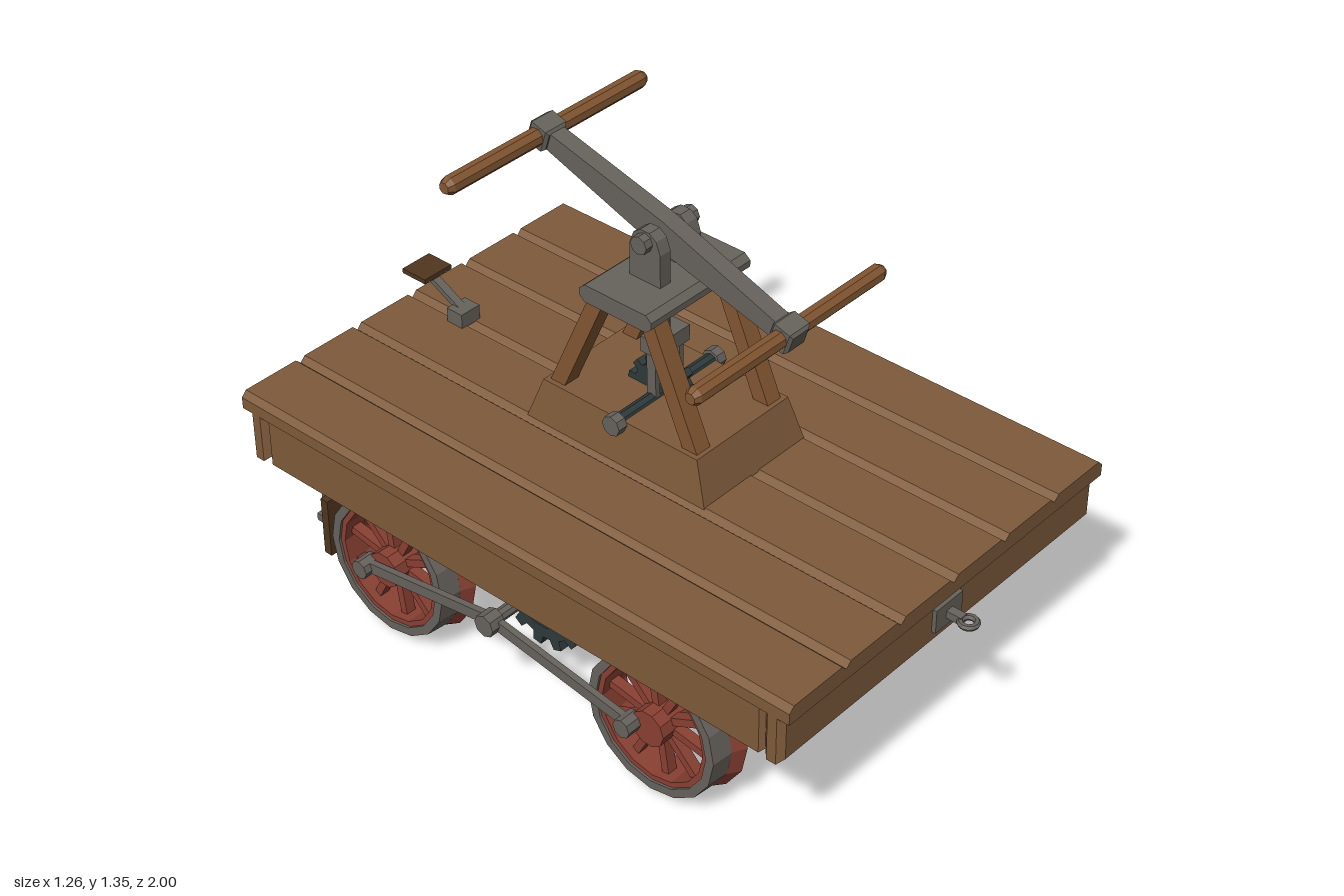
import * as THREE from 'three';

const mat = (name, color) => {
  const m = new THREE.MeshStandardMaterial({ color });
  m.name = name;
  return m;
};

export function createModel() {
  const wood = mat('deck wood', 0x7e5a3a);
  const handleWood = mat('handle wood', 0x825631);
  const darkWood = mat('dark wood', 0x50361f);
  const metal = mat('grey metal', 0x67625c);
  const iron = mat('dark iron', 0x2f3a3b);
  const red = mat('wheel red', 0x8a4033);
  const root = new THREE.Group();
  root.name = 'railHandcar';

  // Faceted mesh at a position
  function add(name, geo, material, pos = [0, 0, 0], parent = root) {
    const g = geo.index ? geo.toNonIndexed() : geo;
    g.computeVertexNormals();
    const mesh = new THREE.Mesh(g, material);
    mesh.name = name;
    mesh.position.set(...pos);
    parent.add(mesh);
    return mesh;
  }
  const box = (w, h, d) => new THREE.BoxGeometry(w, h, d);
  const rodX = (r, len, n = 8) => new THREE.CylinderGeometry(r, r, len, n).rotateZ(-Math.PI / 2);
  // Box with chamfered edges
  function bevelBox(w, h, d, b = 0.012) {
    const x = w / 2 - b, y = h / 2 - b;
    const s = new THREE.Shape([[-x, -y], [x, -y], [x, y], [-x, y]].map(p => new THREE.Vector2(...p)));
    return new THREE.ExtrudeGeometry(s, { depth: d - 2 * b, bevelSize: b, bevelThickness: b, bevelSegments: 1 })
      .translate(0, 0, -d / 2 + b);
  }
  // Plate outlined in [z, y], with its thickness along x
  function plate(points, width) {
    const s = new THREE.Shape(points.map(([z, y]) => new THREE.Vector2(-z, y)));
    return new THREE.ExtrudeGeometry(s, { depth: width, bevelEnabled: false })
      .translate(0, 0, -width / 2).rotateY(Math.PI / 2);
  }
  // Straight bar between two points
  function bar(name, a, b, w, d, material) {
    const A = new THREE.Vector3(...a), B = new THREE.Vector3(...b);
    const dir = B.clone().sub(A);
    const m = add(name, box(w, dir.length(), d), material, A.clone().add(B).multiplyScalar(0.5).toArray());
    m.quaternion.setFromUnitVectors(new THREE.Vector3(0, 1, 0), dir.normalize());
    return m;
  }
  function gear(r, width, teeth) {
    const pts = [];
    for (let i = 0; i < teeth; i++) {
      for (const [f, k] of [[0, 0.8], [0.42, 0.8], [0.52, 1], [0.9, 1]]) {
        const a = (i + f) / teeth * Math.PI * 2;
        pts.push([Math.cos(a) * r * k, Math.sin(a) * r * k]);
      }
    }
    return plate(pts, width);
  }

  // Deck planks with chamfered top edges
  const pw = 1.24 / 6;
  for (let i = 0; i < 6; i++) {
    const h = pw / 2, c = 0.016;
    const s = new THREE.Shape([[-h, 0], [h, 0], [h, 0.034], [h - c, 0.05], [c - h, 0.05], [-h, 0.034]]
      .map(p => new THREE.Vector2(...p)));
    const g = new THREE.ExtrudeGeometry(s, { depth: 1.84, bevelEnabled: false }).translate(0, 0, -0.92);
    add('deckPlank', g, wood, [-0.62 + pw * (i + 0.5), 0.542, 0]);
  }

  // Underframe: end beams, side rails, sills and cross beams
  for (const s of [-1, 1]) {
    add('endBeam', bevelBox(1.24, 0.143, 0.06, 0.016), wood, [0, 0.4715, s * 0.87]);
    add('sideRail', bevelBox(0.06, 0.143, 1.68), wood, [s * 0.585, 0.4715, 0]);
    add('sill', box(0.08, 0.13, 1.68), wood, [s * 0.4, 0.477, 0]);
    add('crossBeam', box(1.12, 0.1, 0.07), wood, [0, 0.492, s * 0.28]);
    // Coupler with a flat eye
    add('couplerPlate', box(0.105, 0.07, 0.014), metal, [0, 0.48, s * 0.905]);
    add('couplerShank', box(0.025, 0.022, 0.06), metal, [0, 0.48, s * 0.925]);
    add('couplerEye', new THREE.TorusGeometry(0.021, 0.009, 6, 12).rotateX(Math.PI / 2), metal, [0, 0.48, s * 0.97]);
  }

  // Wheel, with its outer side towards +x
  function wheel(side, z) {
    const g = new THREE.Group();
    g.name = 'wheel';
    const ring = pts => new THREE.LatheGeometry(pts.map(p => new THREE.Vector2(...p)), 16).rotateZ(-Math.PI / 2);
    add('tyre', ring([[0.178, 0.51], [0.208, 0.51], [0.203, 0.575], [0.178, 0.575], [0.178, 0.51]]), metal, [0, 0, 0], g);
    add('flange', ring([[0.165, 0.475], [0.226, 0.475], [0.208, 0.512], [0.165, 0.512], [0.165, 0.475]]), red, [0, 0, 0], g);
    add('innerRim', ring([[0.163, 0.5], [0.18, 0.5], [0.18, 0.568], [0.163, 0.568], [0.163, 0.5]]), red, [0, 0, 0], g);
    for (let i = 0; i < 10; i++) {
      add('spoke', box(0.03, 0.14, 0.022).translate(0, 0.1, 0), red, [0.53, 0, 0], g)
        .rotation.x = i * Math.PI / 5 + 0.15;
    }
    add('hub', rodX(0.052, 0.105, 10), red, [0.5325, 0, 0], g);
    g.rotation.y = side > 0 ? 0 : Math.PI;
    g.position.set(0, 0.226, z);
    root.add(g);
  }

  // Running gear: wheels, axles, hangers, drive gears and rods
  const wz = 0.457, wy = 0.226, cy = 0.295, off = -0.048;
  const hanger = b => [[-0.065, 0.42], [-0.065, b + 0.04], [-0.03, b], [0.03, b], [0.065, b + 0.04], [0.065, 0.42]];
  for (const z of [-wz, 0, wz]) {
    add('axle', rodX(z ? 0.026 : 0.021, z ? 1.0 : 0.92, 10), iron, [0, z ? wy : cy, z]);
  }
  for (const s of [-1, 1]) {
    for (const z of [-wz, wz]) {
      wheel(s, z);
      add('axleHanger', plate(hanger(0.18), 0.06), metal, [s * 0.4, 0, z]);
      add('wheelPin', rodX(0.027, 0.055), metal, [s * 0.6, wy, z + off]);
      bar('connectingRod', [s * 0.597, cy, off], [s * 0.597, wy, z + off], 0.018, 0.032, metal);
    }
    add('crankHanger', plate(hanger(0.23), 0.06), metal, [s * 0.4, 0, 0]);
    add('driveGear', gear(0.138, 0.028, 12), iron, [s * 0.456, cy, 0]);
    add('gearHub', rodX(0.07, 0.044, 10), iron, [s * 0.456, cy, 0]);
    add('crankPinShaft', rodX(0.018, 0.14), metal, [s * 0.53, cy, off]);
    add('crankPin', rodX(0.032, 0.045), metal, [s * 0.608, cy, off]);
    // Brake shoes and their hangers
    add('brakeShoe', box(0.06, 0.18, 0.025), darkWood, [s * 0.535, 0.23, -0.695]);
    bar('brakeHanger', [s * 0.535, 0.23, -0.718], [s * 0.535, 0.42, -0.708], 0.022, 0.02, metal);
  }

  // Brake bar, pull rod and pedal
  add('brakeBar', box(1.12, 0.022, 0.02), metal, [0, 0.245, -0.722]);
  add('brakePullRod', box(0.02, 0.36, 0.02), metal, [0, 0.42, -0.722]);
  add('pedalBase', box(0.068, 0.045, 0.055), metal, [0, 0.612, -0.722]);
  bar('pedalArm', [0, 0.625, -0.725], [0, 0.69, -0.85], 0.025, 0.016, metal);
  add('pedal', box(0.1, 0.014, 0.085), darkWood, [0, 0.697, -0.855]);

  // Tapered pump base
  const base = box(0.39, 0.122, 0.6);
  const p = base.attributes.position;
  for (let i = 0; i < p.count; i++) {
    if (p.getY(i) > 0) p.setXYZ(i, p.getX(i) * 0.9, p.getY(i), p.getZ(i) * 0.86);
  }
  add('pumpBase', base, wood, [0, 0.649, 0]);
  add('pumpShaft', rodX(0.02, 0.38), iron, [0, 0.703, 0]);
  add('pumpGear', gear(0.105, 0.046, 12), iron, [0, 0.703, 0]);

  // Tower legs, top plate and pivot brackets
  for (const s of [-1, 1]) {
    add('shaftBearing', rodX(0.029, 0.03), metal, [s * 0.191, 0.703, 0]);
    for (const k of [-1, 1]) {
      bar('towerLeg', [s * 0.136, 0.695, k * 0.228], [s * 0.136, 1.035, k * 0.078], 0.05, 0.044, handleWood);
    }
    add('pivotBracket', plate([[-0.05, 1.06], [0.05, 1.06], [0.05, 1.165], [0.037, 1.2], [0.015, 1.216],
      [-0.015, 1.216], [-0.037, 1.2], [-0.05, 1.165]], 0.038), metal, [s * 0.056, 0, 0]);
    add('pivotBolt', rodX(0.026, 0.024), metal, [s * 0.087, 1.186, 0]);
    add('pumpLink', box(0.016, 0.16, 0.03), metal, [s * 0.045, 0.78, 0]);
  }
  add('topPlate', plate([[-0.1, 1.022], [0.1, 1.022], [0.118, 1.038], [0.118, 1.056], [0.1, 1.072],
    [-0.1, 1.072], [-0.118, 1.056], [-0.118, 1.038]], 0.37), metal);
  add('pivotPin', rodX(0.018, 0.16), metal, [0, 1.186, 0]);
  add('pumpRod', new THREE.CylinderGeometry(0.013, 0.013, 0.32, 8), metal, [0, 1.03, 0]);
  add('crosshead', box(0.118, 0.046, 0.06), metal, [0, 0.865, 0]);

  // Rocking lever with a cross handle at each end
  const lever = new THREE.Group();
  lever.name = 'rockingLever';
  lever.position.set(0, 1.185, 0);
  lever.rotation.x = Math.atan2(0.125, 0.395);
  root.add(lever);
  add('leverBeam', plate([[-0.41, -0.024], [0, -0.042], [0.41, -0.024], [0.41, 0.024], [0, 0.042], [-0.41, 0.024]], 0.05),
    metal, [0, 0, 0], lever);
  const grip = [[0, -0.36], [0.016, -0.36], [0.025, -0.343], [0.025, 0.343], [0.016, 0.36], [0, 0.36]];
  for (const s of [-1, 1]) {
    add('handleSocket', bevelBox(0.075, 0.064, 0.064, 0.008), metal, [0, 0, s * 0.412], lever);
    add('handle', new THREE.LatheGeometry(grip.map(q => new THREE.Vector2(...q)), 8).rotateZ(-Math.PI / 2),
      handleWood, [0, 0, s * 0.412], lever);
  }
  return root;
}
